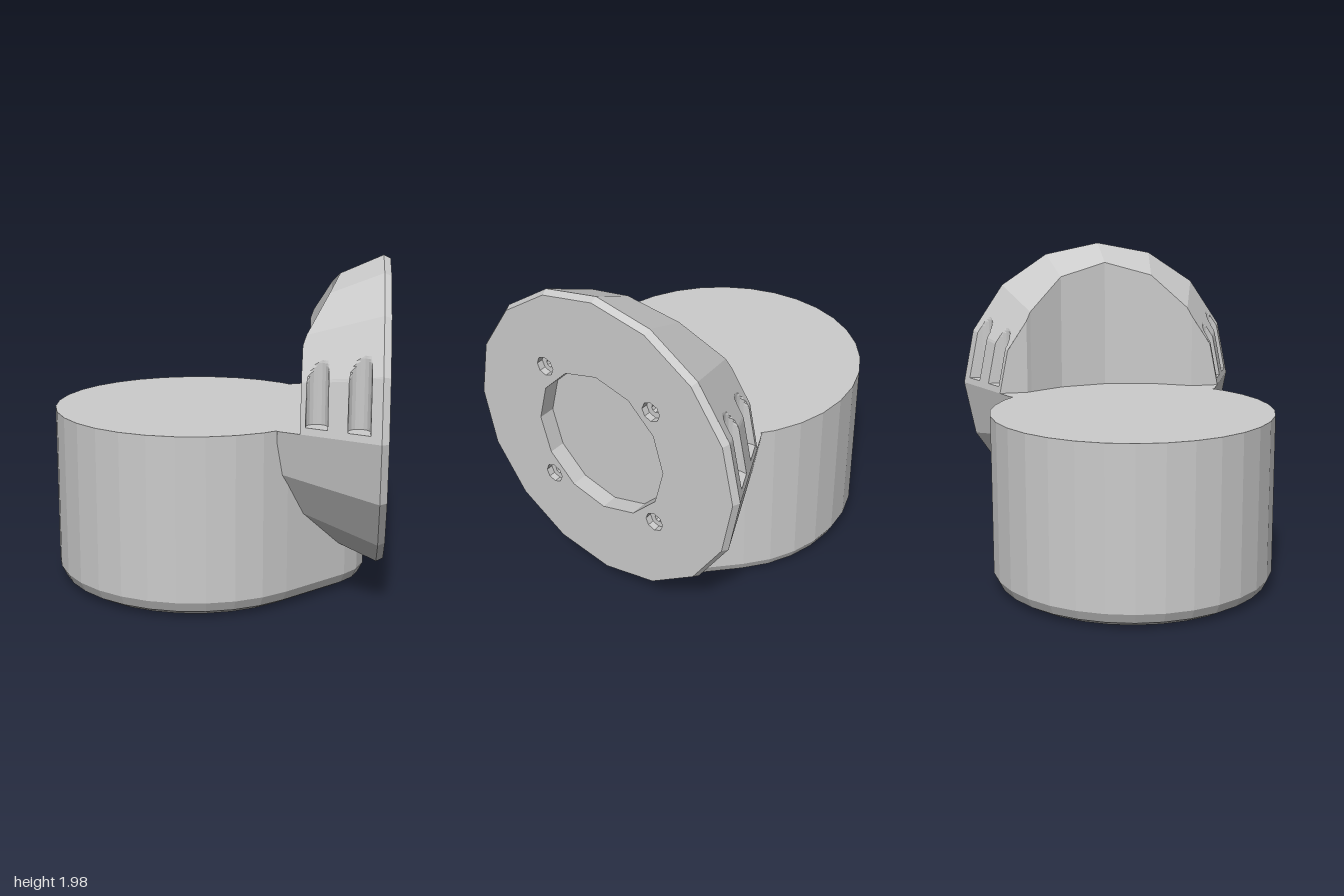
import * as THREE from 'three';

const AXIS_Y = 1.06;             // height of the body top and of the flange axis
const BODY_X = -0.15, BODY_R = 0.85;
const solid = new THREE.MeshStandardMaterial({ color: 0xcccccc, flatShading: true });
const open = new THREE.MeshStandardMaterial({ color: 0xcccccc, flatShading: true, side: THREE.DoubleSide });
const V = (x, y, z) => new THREE.Vector3(x, y, z);

// Triangles joining two rows of points
function strip(a, b, closed = false) {
  const out = [], n = a.length;
  for (let i = 0; i < (closed ? n : n - 1); i++) {
    const j = (i + 1) % n;
    out.push(a[i], a[j], b[j], a[i], b[j], b[i]);
  }
  return out;
}

// Fan closing a convex ring
function cap(ring, flip = false) {
  const c = V(0, 0, 0);
  ring.forEach(p => c.addScaledVector(p, 1 / ring.length));
  return ring.flatMap((p, i) => {
    const q = ring[(i + 1) % ring.length];
    return flip ? [c, q, p] : [c, p, q];
  });
}

function makeMesh(name, points, material = open) {
  const g = new THREE.BufferGeometry().setFromPoints(points);
  g.computeVertexNormals();
  const m = new THREE.Mesh(g, material);
  m.name = name;
  return m;
}

// Polygon ring around an axis parallel to x
function ring(n, r, x, cy = AXIS_Y, cz = 0) {
  return Array.from({ length: n }, (_, i) => {
    const a = Math.PI / 2 + i / n * Math.PI * 2;
    return V(x, cy + r * Math.sin(a), cz + r * Math.cos(a));
  });
}

// Teardrop outline: round, with 45 degree tangents to a rounded nose
function outline(y, inset) {
  const pts = [];
  const arc = (cx, r, from, to, n) => {
    for (let i = 0; i <= n; i++) {
      const a = THREE.MathUtils.degToRad(from + (to - from) * i / n);
      pts.push(V(cx + r * Math.cos(a), y, -r * Math.sin(a)));
    }
  };
  arc(BODY_X, BODY_R - inset, 45, 315, 24);
  arc(0.5, 0.39 - inset, -45, 45, 5);
  return pts;
}

function makeBody() {
  const layers = [[0, 0.1], [0.04, 0.03], [0.1, 0], [AXIS_Y, 0]].map(([y, inset]) => outline(y, inset));
  const tris = [...cap(layers[0], true), ...cap(layers[3])];
  for (let i = 0; i < 3; i++) tris.push(...strip(layers[i], layers[i + 1], true));
  return makeMesh('body', tris, solid);
}

// Sixteen-sided cone of the flange housing
const coneR = x => 0.915 - 0.44 * (0.96 - x);
const conePoint = (x, deg) => {
  const a = THREE.MathUtils.degToRad(deg);
  return V(x, AXIS_Y + coneR(x) * Math.sin(a), coneR(x) * Math.cos(a));
};
function coneZ(x, y) {
  const r = coneR(x), h = (y - AXIS_Y) / r;
  const k = h < 0.3827 ? 1 - 0.0761 * h / 0.3827 : 0.9239 - 0.2168 * (h - 0.3827) / 0.3244;
  return r * k;
}

// Where a cone line meets the upright cylindrical cut
function cutX(deg) {
  let x = 0.6;
  for (let i = 0; i < 40; i++) {
    const z = conePoint(x, deg).z;
    x = Math.max(0.52, BODY_X + Math.sqrt(0.86 ** 2 - z * z));
  }
  return x;
}

// Side of the housing with two upright round slots
const SPLIT_Y = 1.52;
const slots = [{ x: 0.61, z: 0.7 }, { x: 0.84, z: 0.79 }];
const SLOT_R = 0.06, FLOOR_Y = 1.1;
function makeSidePanel() {
  const xs = [0.52], ys = [AXIS_Y, FLOOR_Y - 0.0005];
  for (const s of slots) {
    xs.push(s.x - SLOT_R - 0.001);
    for (let i = 0; i <= 8; i++) xs.push(s.x - SLOT_R * Math.cos(i / 8 * Math.PI));
    xs.push(s.x + SLOT_R + 0.001);
  }
  xs.push(0.96);
  for (let i = 0; i <= 28; i++) ys.push(FLOOR_Y + (SPLIT_Y - FLOOR_Y) * i / 28);
  const rows = ys.map(y => xs.map(x => {
    let z = coneZ(x, y);
    for (const s of slots) {
      const d = Math.abs(x - s.x);
      if (y >= FLOOR_Y && d < SLOT_R + 0.0005)
        z = Math.min(z, s.z - Math.sqrt(Math.max(0, SLOT_R ** 2 - d * d)));
    }
    return V(x, y, z);
  }));
  const tris = [];
  for (let i = 0; i < rows.length - 1; i++) tris.push(...strip(rows[i], rows[i + 1]));
  return makeMesh('slottedSide', tris);
}

function makeHousing() {
  const g = new THREE.Group();
  g.name = 'flangeHousing';
  const side = makeSidePanel(), other = side.clone();
  other.scale.z = -1;
  g.add(side, other);

  // Upper cone between the slotted sides
  const mirrored = p => V(p.x, p.y, -p.z);
  const edge = x => V(x, SPLIT_Y, coneZ(x, SPLIT_Y));
  const angles = [45, 67.5, 90, 112.5, 135];
  const inner = [edge(0.52), ...angles.map(a => conePoint(cutX(a), a)), mirrored(edge(0.52))];
  const outer = [edge(0.96), ...angles.map(a => conePoint(0.96, a)), mirrored(edge(0.96))];
  g.add(makeMesh('upperCone', strip(inner, outer)));

  // Curved wall standing on the body top
  const sideEdge = [AXIS_Y, 1.335].map(y => V(0.52, y, coneZ(0.52, y)));
  const wallTop = [...sideEdge, ...inner, ...sideEdge.map(mirrored).reverse()];
  g.add(makeMesh('cutWall', strip(wallTop.map(p => V(p.x, AXIS_Y, p.z)), wallTop)));

  // Lower cone merging into the body, and the ledge above it
  const lower = Array.from({ length: 9 }, (_, i) => 180 + i * 22.5);
  g.add(makeMesh('lowerCone', strip(lower.map(a => conePoint(0.39, a)), lower.map(a => conePoint(0.96, a)))));
  const ledge = [0.39, 0.75].map(x => [V(x, AXIS_Y, coneR(x)), V(x, AXIS_Y, -coneR(x))]);
  g.add(makeMesh('ledge', strip(ledge[0], ledge[1])));
  return g;
}

function makeFlange() {
  const g = new THREE.Group();
  g.name = 'flange';
  const holes = [];
  for (const y of [-0.37, 0.37]) for (const z of [-0.37, 0.37]) holes.push([AXIS_Y + y, z]);

  // Front plate with recess and bolt openings
  const flat = pts => pts.map(p => new THREE.Vector2(-p.z, p.y));
  const shape = new THREE.Shape(flat(ring(16, 0.895, 1)));
  shape.holes.push(new THREE.Path(flat(ring(12, 0.44, 1))));
  for (const [y, z] of holes) shape.holes.push(new THREE.Path(flat(ring(8, 0.058, 1, y, z))));
  const plate = new THREE.Mesh(new THREE.ShapeGeometry(shape).rotateY(Math.PI / 2).translate(1, 0, 0), open);
  plate.name = 'flangePlate';
  g.add(plate);

  g.add(makeMesh('flangeRim', strip(ring(16, 0.915, 0.96), ring(16, 0.895, 1), true)));
  const floor = ring(12, 0.44, 0.9);
  g.add(makeMesh('centreRecess', [...strip(floor, ring(12, 0.44, 1), true), ...cap(floor)]));

  // Stepped bolt holes
  for (const [y, z] of holes) {
    const [a, b, c, d] = [[0.058, 1], [0.058, 0.96], [0.025, 0.96], [0.025, 0.9]].map(([r, x]) => ring(8, r, x, y, z));
    g.add(makeMesh('boltHole', [...strip(a, b, true), ...strip(b, c, true), ...strip(c, d, true), ...cap(d)]));
  }
  return g;
}

export function createModel() {
  const model = new THREE.Group();
  model.name = 'flangedHousing';
  model.add(makeBody(), makeHousing(), makeFlange());
  return model;
}
